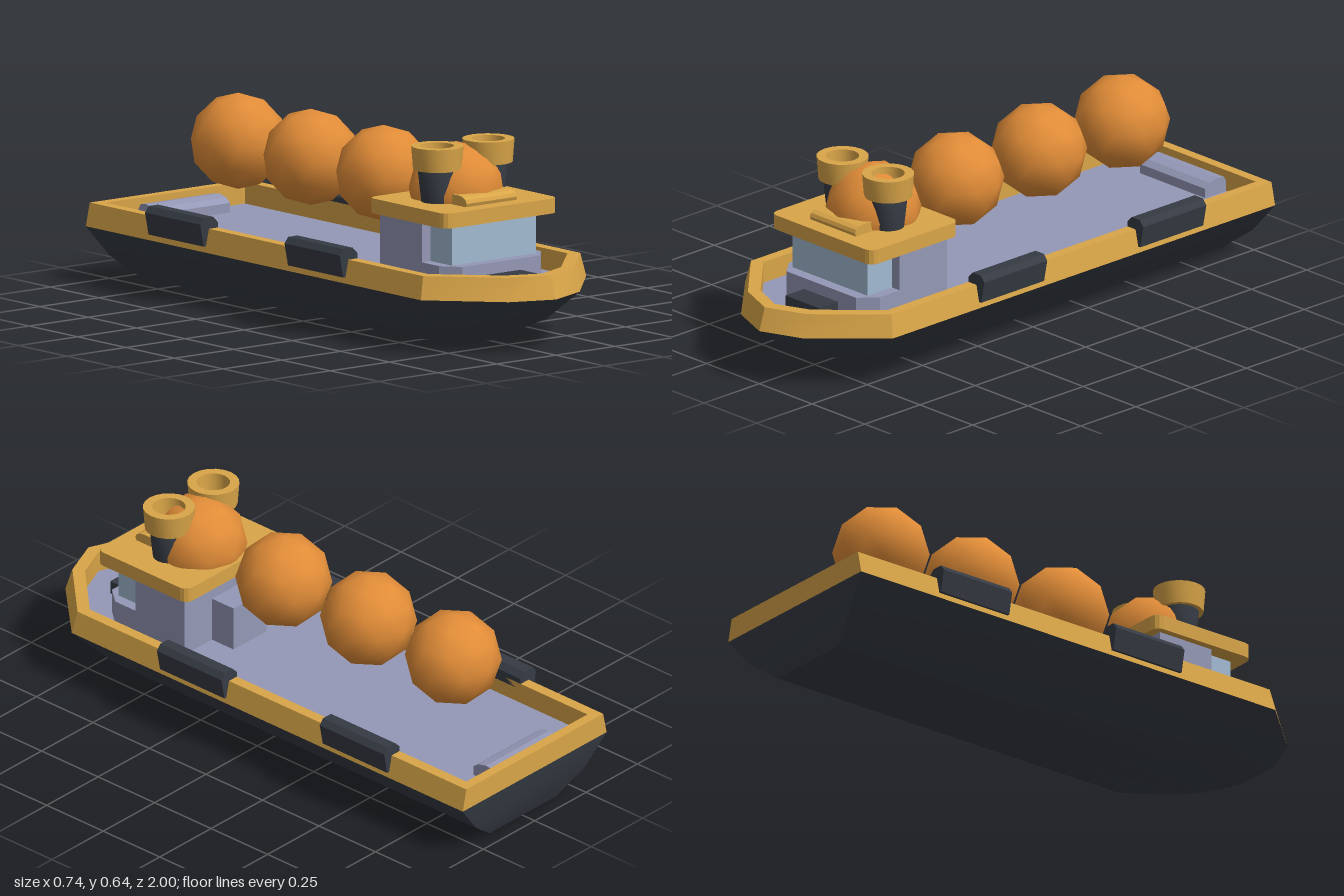
import * as THREE from 'three';
import { toCreasedNormals } from 'three/addons/utils/BufferGeometryUtils.js';

const paint = (name, color) => {
  const m = new THREE.MeshStandardMaterial({ color });
  m.name = name;
  return m;
};

// Boat outline at height y: straight sides, square stern, pointed bow
function ring(y, w, stern, shoulder, bowX, bowZ, tip) {
  return [[w, stern], [w, shoulder], [bowX, bowZ], [0, tip], [-bowX, bowZ], [-w, shoulder], [-w, stern]]
    .map(([x, z]) => [x, y, z]);
}

// Skin between successive outlines, with optional end caps
function loft(rings, capFirst, capLast) {
  const pos = [];
  const tri = (a, b, c) => pos.push(...a, ...b, ...c);
  for (let r = 0; r + 1 < rings.length; r++) {
    const a = rings[r], b = rings[r + 1], n = a.length;
    for (let i = 0; i < n; i++) {
      const j = (i + 1) % n;
      tri(a[i], b[i], a[j]);
      tri(a[j], b[i], b[j]);
    }
  }
  const first = rings[0], last = rings[rings.length - 1];
  for (let i = 1; i + 1 < first.length; i++) {
    if (capFirst) tri(first[0], first[i], first[i + 1]);
    if (capLast) tri(last[0], last[i + 1], last[i]);
  }
  const g = new THREE.BufferGeometry();
  g.setAttribute('position', new THREE.Float32BufferAttribute(pos, 3));
  g.computeVertexNormals();
  return toCreasedNormals(g, 0.6);
}

const prism = (pts, depth) => new THREE.ExtrudeGeometry(
  new THREE.Shape(pts.map(([x, y]) => new THREE.Vector2(x, y))), { depth, bevelEnabled: false });

// Prisms along x from (z, y), along z from (x, y), and upright from (x, z)
const alongX = (pts, w) => prism(pts.map(([z, y]) => [-z, y]), w).translate(0, 0, -w / 2).rotateY(Math.PI / 2);
const alongZ = (pts, z0, z1) => prism(pts, z1 - z0).translate(0, 0, z0);
const upright = (pts, y0, y1) => prism(pts.map(([x, z]) => [x, -z]), y1 - y0).rotateX(-Math.PI / 2).translate(0, y0, 0);

const box = (x0, x1, y0, y1, z0, z1) => new THREE.BoxGeometry(x1 - x0, y1 - y0, z1 - z0)
  .translate((x0 + x1) / 2, (y0 + y1) / 2, (z0 + z1) / 2);

// Turned part with hard edges
const lathe = (pts, sides) => toCreasedNormals(
  new THREE.LatheGeometry(pts.map(([r, y]) => new THREE.Vector2(r, y)), sides), 0.7);

export function createModel() {
  const model = new THREE.Group();
  model.name = 'cargoBoat';
  const dark = paint('charcoal', 0x363b44);
  const gold = paint('gold', 0xd9a548);
  const orange = paint('orange', 0xe28d38);
  const grey = paint('lavenderGrey', 0x9598b6);
  const glass = paint('paleBlueGlass', 0xa2bad2);
  dark.side = THREE.DoubleSide; // the funnels are open tubes

  const add = (name, geometry, material, x = 0, y = 0, z = 0) => {
    const m = new THREE.Mesh(geometry, material);
    m.name = name;
    m.position.set(x, y, z);
    model.add(m);
    return m;
  };

  // Hull, rail and deck
  const deckY = 0.19;
  const inner = y => ring(y, 0.295, -0.965, 0.70, 0.12, 0.88, 0.93);
  add('hull', loft([
    ring(0, 0.16, -0.945, 0.48, 0.07, 0.62, 0.66),
    ring(0.08, 0.265, -0.98, 0.62, 0.115, 0.81, 0.86),
    ring(0.185, 0.35, -1, 0.73, 0.15, 0.94, 1),
  ], true, true), dark);
  add('rail', loft([
    ring(0.185, 0.35, -1, 0.73, 0.15, 0.94, 1),
    ring(0.262, 0.333, -1, 0.72, 0.14, 0.918, 0.975),
    inner(0.262),
    inner(deckY),
  ]), gold);
  add('deck', loft([inner(0.187), inner(deckY)], false, true), grey);

  // Side fenders hung over the rail
  const fender = [[0.295, 0.24], [0.295, 0.28], [0.315, 0.3], [0.354, 0.3], [0.37, 0.28], [0.355, 0.205], [0.335, 0.205]];
  for (const side of [1, -1]) {
    for (const [z0, z1] of [[0.05, 0.335], [-0.67, -0.385]]) {
      add('fender', alongZ(fender.map(([x, y]) => [x * side, y]), z0, z1), dark);
    }
  }

  // Cabin
  add('cabinBase', upright([[0.215, 0.355], [0.215, 0.66], [0.165, 0.72], [-0.165, 0.72], [-0.215, 0.66], [-0.215, 0.355]], deckY, 0.273), grey);
  add('cabinWalls', box(-0.215, 0.215, 0.273, 0.407, 0.355, 0.57), grey);
  add('cabinWindow', box(-0.178, 0.178, 0.273, 0.407, 0.57, 0.68), glass);
  add('rearLocker', box(-0.08, 0.08, deckY, 0.345, 0.26, 0.355), grey);

  // Roof with rounded corners
  const roof = [];
  for (let q = 0; q < 4; q++) {
    for (let i = 0; i <= 3; i++) {
      const a = (q + i / 3) * Math.PI / 2;
      const sx = q === 0 || q === 3 ? 1 : -1, sz = q < 2 ? 1 : -1;
      roof.push([sx * 0.21 + 0.03 * Math.cos(a), 0.522 + sz * 0.17 + 0.03 * Math.sin(a)]);
    }
  }
  add('cabinRoof', upright(roof, 0.407, 0.457), gold);

  // Rounded bar at the front of the roof
  add('roofBar', alongX([[0.58, 0.457], [0.665, 0.457], [0.669, 0.468], [0.664, 0.48], [0.65, 0.488], [0.63, 0.491], [0.58, 0.491]], 0.214), gold);

  // Hollow funnels with collars
  const collar = [[0.05, 0.565], [0.08, 0.565], [0.086, 0.642], [0.055, 0.642], [0.05, 0.565]];
  const tube = [[0.053, 0.457], [0.065, 0.565], [0.053, 0.6], [0.045, 0.457]];
  for (const side of [1, -1]) {
    add('funnel', lathe(tube, 20), dark, side * 0.108, 0, 0.52);
    add('funnelCollar', lathe(collar, 20), gold, side * 0.108, 0, 0.52);
  }

  // Row of balls, each with one vertex pointing up
  const phi = (1 + Math.sqrt(5)) / 2;
  const ball = new THREE.IcosahedronGeometry(0.16, 1).rotateZ(Math.atan(1 / phi));
  for (const z of [0.485, 0.11, -0.265, -0.64]) add('ball', ball, orange, 0, 0.48, z);

  // Bow hatch and stern step
  add('bowHatch', box(-0.08, 0.08, deckY, 0.235, 0.7, 0.805), dark);
  add('sternStep', alongX([[-0.965, deckY], [-0.87, deckY], [-0.87, 0.222], [-0.89, 0.238], [-0.925, 0.246], [-0.955, 0.242], [-0.965, 0.225]], 0.31), grey);

  return model;
}
